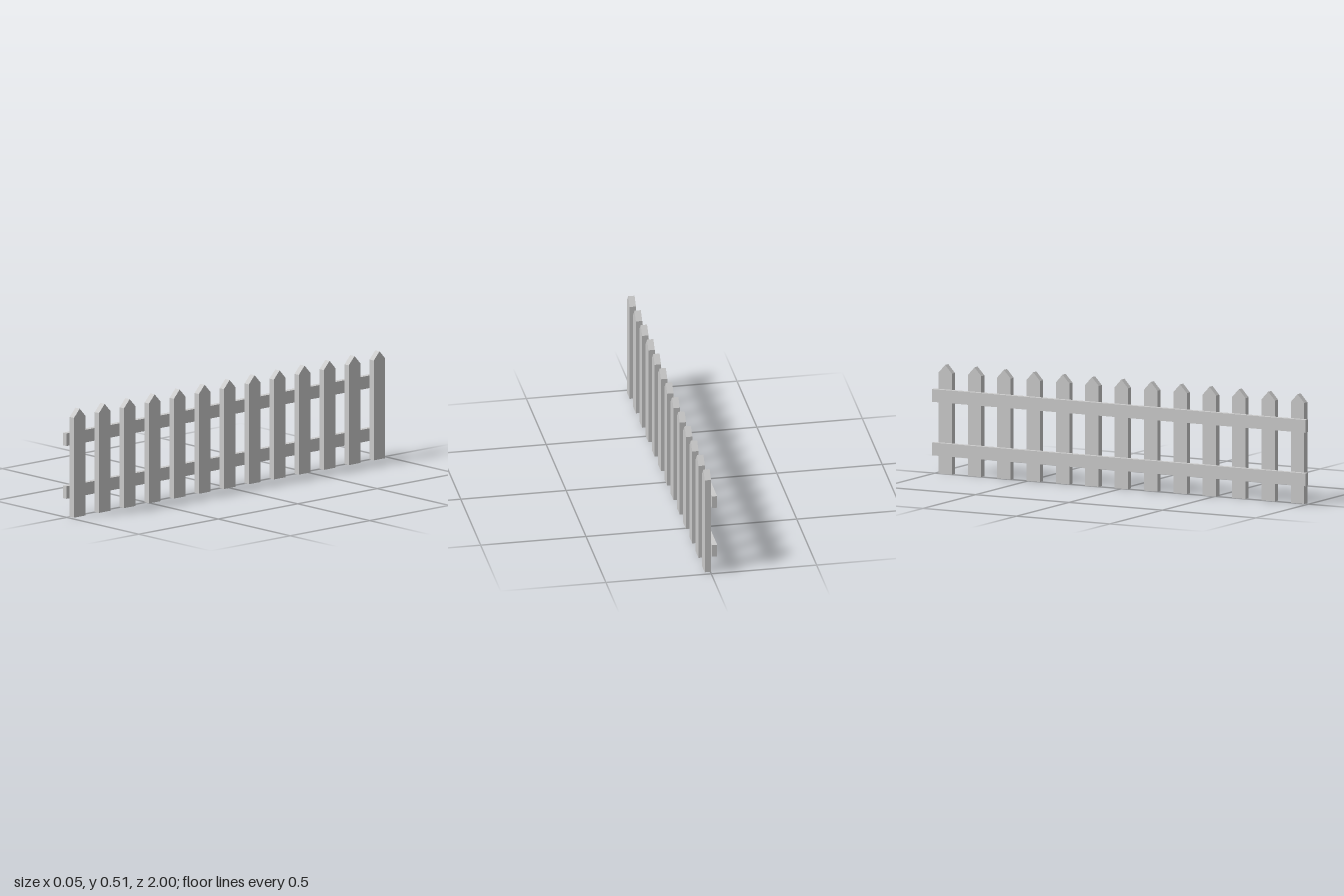
import * as THREE from 'three';

export function createModel() {
  const group = new THREE.Group();
  group.name = 'picketFence';
  const material = new THREE.MeshStandardMaterial({ color: 0xcccccc, flatShading: true });

  // Pointed picket board, extruded through its thickness and turned to face +x
  const w = 0.036, shoulder = 0.476, tip = 0.515;
  const outline = new THREE.Shape([
    new THREE.Vector2(-w, 0),
    new THREE.Vector2(w, 0),
    new THREE.Vector2(w, shoulder),
    new THREE.Vector2(0, tip),
    new THREE.Vector2(-w, shoulder),
  ]);
  const picketGeometry = new THREE.ExtrudeGeometry(outline, { depth: 0.03, bevelEnabled: false });
  picketGeometry.rotateY(Math.PI / 2);

  // Evenly spaced row of pickets
  const count = 13, reach = 0.943;
  for (let i = 0; i < count; i++) {
    const picket = new THREE.Mesh(picketGeometry, material);
    picket.name = `picket${i + 1}`;
    picket.position.set(-0.003, 0, -reach + (2 * reach * i) / (count - 1));
    group.add(picket);
  }

  // Two horizontal rails behind the pickets
  const railGeometry = new THREE.BoxGeometry(0.025, 0.06, 2);
  for (const [name, y] of [['lowerRail', 0.118], ['upperRail', 0.37]]) {
    const rail = new THREE.Mesh(railGeometry, material);
    rail.name = name;
    rail.position.set(-0.0155, y, 0);
    group.add(rail);
  }

  return group;
}
